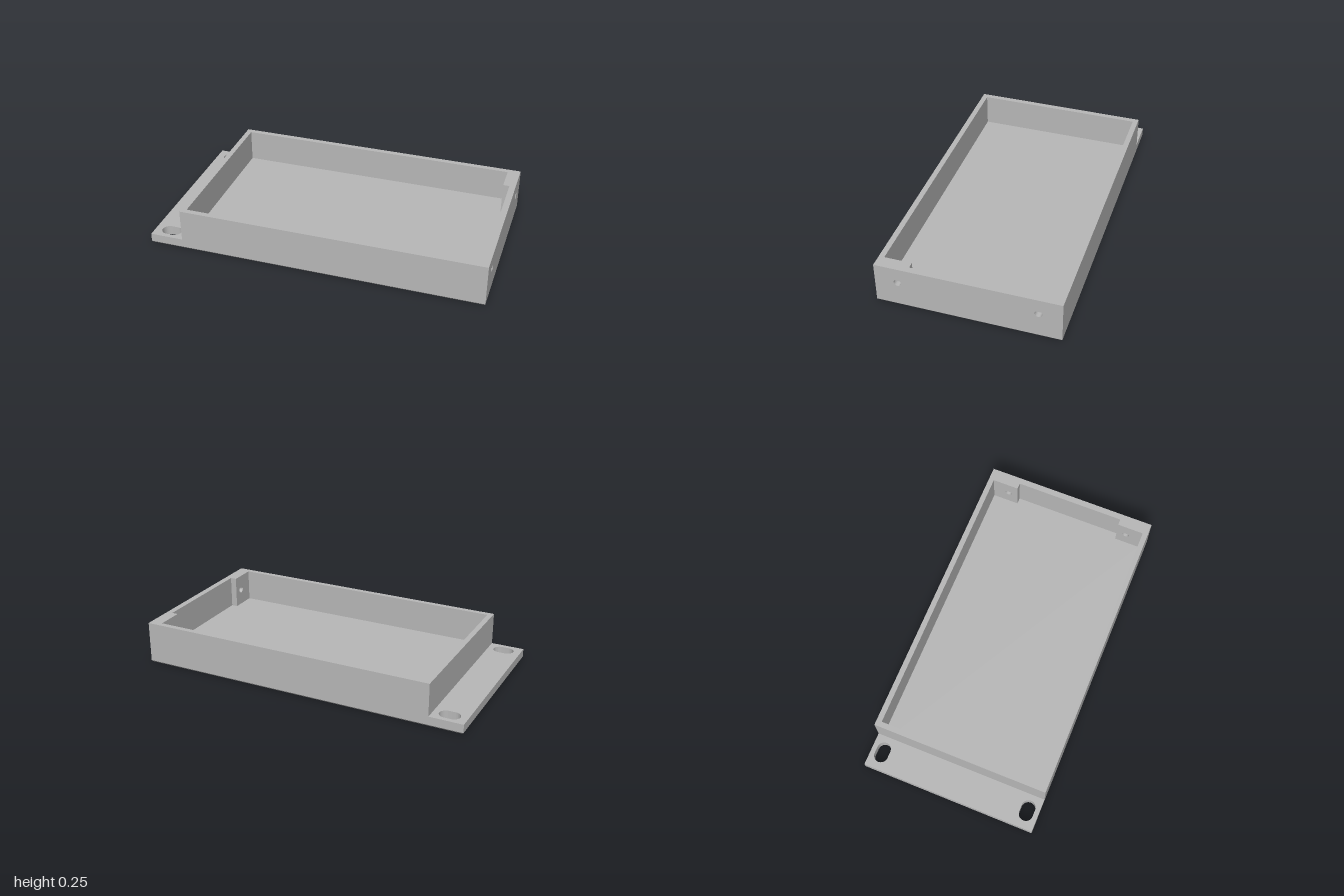
import * as THREE from 'three';
import { toCreasedNormals } from 'three/addons/utils/BufferGeometryUtils.js';

const W = 0.527, FLOOR = 0.058, TOP = 0.253;   // half depth, plate thickness, rim height
const WALL_X = -0.8, PAD_X = 0.925;            // tray start, inner face of the corner blocks
const INNER_Z = 0.495, PAD_Z = 0.335;

function rect(x0, y0, x1, y1) {
  return new THREE.Shape([[x0, y0], [x1, y0], [x1, y1], [x0, y1]].map(p => new THREE.Vector2(...p)));
}

// Rounded mounting slot
function slot(cx, cy, half, r) {
  const p = new THREE.Path();
  p.absarc(cx + half, cy, r, -Math.PI / 2, Math.PI / 2, false);
  p.absarc(cx - half, cy, r, Math.PI / 2, Math.PI * 1.5, false);
  p.closePath();
  return p;
}

// Round hole with a pointed top
function teardrop(cx, cy, r) {
  const p = new THREE.Path();
  p.moveTo(cx, cy + r * Math.SQRT2);
  p.absarc(cx, cy, r, Math.PI * 0.75, Math.PI * 2.25, false);
  p.closePath();
  return p;
}

export function createModel() {
  const group = new THREE.Group();
  const grey = new THREE.MeshStandardMaterial({ color: 0xb8b8b8 });
  grey.name = 'plain grey';

  const add = (name, geometry) => {
    const mesh = new THREE.Mesh(geometry, grey);
    mesh.name = name;
    group.add(mesh);
    return mesh;
  };
  const wall = (name, x0, x1, z0, z1) => {
    const h = TOP - FLOOR;
    add(name, new THREE.BoxGeometry(x1 - x0, h, z1 - z0))
      .position.set((x0 + x1) / 2, FLOOR + h / 2, (z0 + z1) / 2);
  };

  // Base plate with mounting slots and a small chamfer around the underside
  const plate = rect(-1, -W, 1, W);
  for (const s of [-1, 1]) plate.holes.push(slot(-0.896, s * 0.458, 0.02, 0.041));
  const base = new THREE.ExtrudeGeometry(plate, { depth: FLOOR, steps: 2, bevelEnabled: false, curveSegments: 16 });
  base.rotateX(-Math.PI / 2);
  const pos = base.attributes.position;
  for (let i = 0; i < pos.count; i++) {
    const x = pos.getX(i), y = pos.getY(i), z = pos.getZ(i);
    if (y < 0.001) {
      if (Math.abs(x) > 0.999) pos.setX(i, x - Math.sign(x) * 0.006);
      if (Math.abs(z) > W - 0.001) pos.setZ(i, z - Math.sign(z) * 0.006);
    } else if (y < FLOOR - 0.001) {
      pos.setY(i, 0.008);
    }
  }
  add('basePlate', toCreasedNormals(base, 0.4));

  // Tray walls
  wall('rightWall', WALL_X, -0.768, -INNER_Z, INNER_Z);
  wall('frontWall', WALL_X, PAD_X, INNER_Z, W);
  wall('backWall', WALL_X, PAD_X, -W, -INNER_Z);
  wall('leftWall', 0.963, 1, -PAD_Z, PAD_Z);

  // Thick corner blocks with screw holes through the end wall
  for (const s of [-1, 1]) {
    const block = s > 0 ? rect(PAD_Z, FLOOR, W, TOP) : rect(-W, FLOOR, -PAD_Z, TOP);
    block.holes.push(teardrop(s * 0.395, 0.158, 0.021));
    const g = new THREE.ExtrudeGeometry(block, { depth: 1 - PAD_X, bevelEnabled: false, curveSegments: 24 });
    g.rotateY(Math.PI / 2).translate(PAD_X, 0, 0);
    add(s > 0 ? 'backCornerBlock' : 'frontCornerBlock', toCreasedNormals(g, 0.4));
  }
  return group;
}
